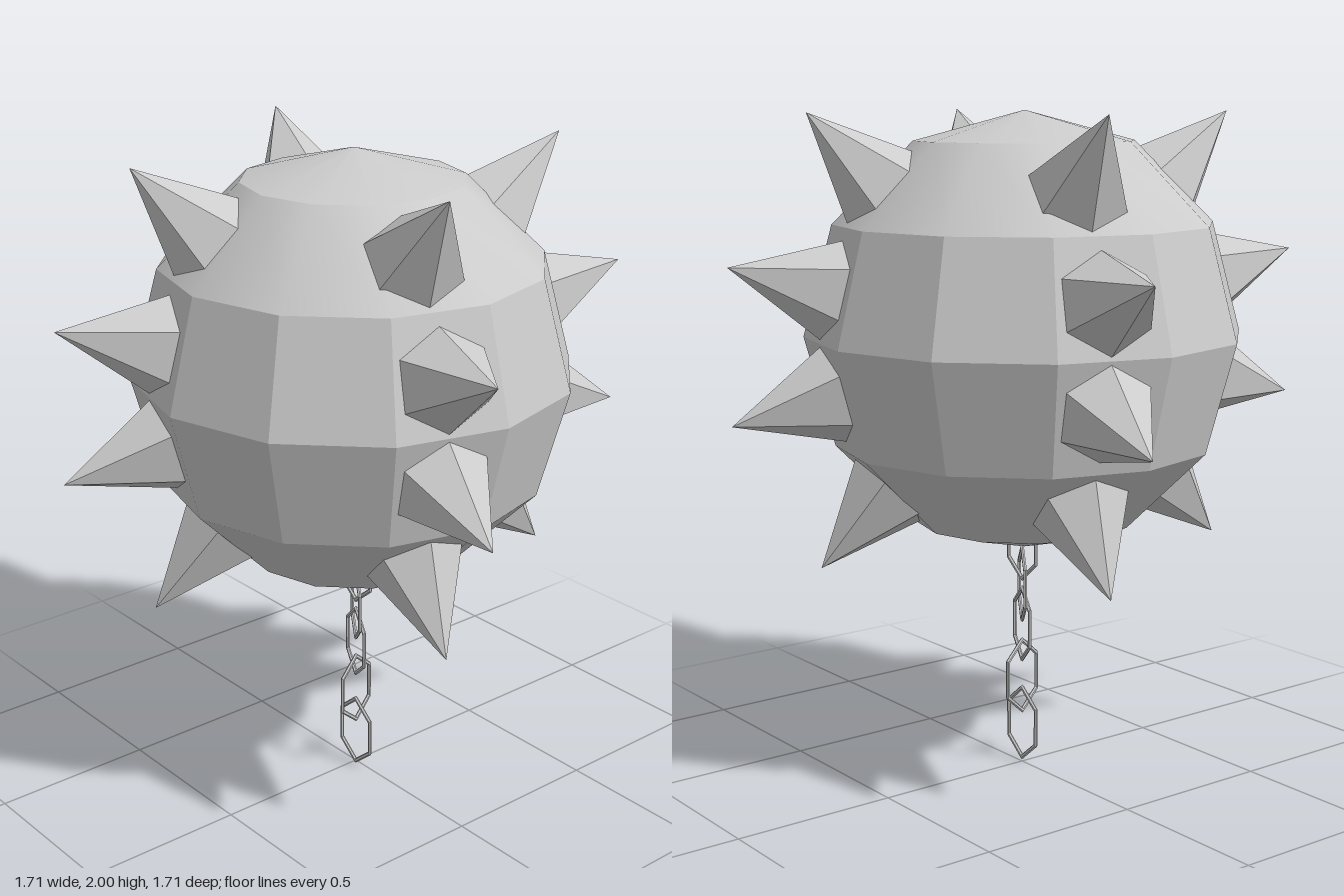
import * as THREE from 'three';
import { toCreasedNormals } from 'three/addons/utils/BufferGeometryUtils.js';

const rad = THREE.MathUtils.degToRad;

export function createModel() {
  const model = new THREE.Group();
  model.name = 'spikedBallOnChain';
  const smooth = new THREE.MeshStandardMaterial({ color: 0xcccccc });
  const flat = new THREE.MeshStandardMaterial({ color: 0xcccccc, flatShading: true });

  // Faceted ball: the equator bands are sharp, the shallower caps blend
  const ball = new THREE.Group();
  ball.name = 'ball';
  ball.position.set(-0.01, 1.345, 0);
  model.add(ball);
  const core = new THREE.Mesh(
    toCreasedNormals(new THREE.SphereGeometry(0.655, 12, 6), rad(25)), smooth);
  core.name = 'ballCore';
  ball.add(core);

  // Four rows of four six-sided spikes, pointing straight out from the centre
  const base = 0.605, length = 0.315;
  const spikeGeometry = new THREE.ConeGeometry(0.148, length, 6);
  spikeGeometry.translate(0, base + length / 2, 0);
  const rows = [
    { name: 'upperSpike', lat: 45, turn: -18 },
    { name: 'upperMiddleSpike', lat: 14.2, turn: -16 },
    { name: 'lowerMiddleSpike', lat: -14.2, turn: -16 },
    { name: 'lowerSpike', lat: -46, turn: -16 },
  ];
  for (const { name, lat, turn } of rows) {
    for (let i = 0; i < 4; i++) {
      const spike = new THREE.Mesh(spikeGeometry, flat);
      spike.name = name;
      spike.rotation.set(rad(90 - lat), rad(turn + i * 90), 0, 'YXZ');
      ball.add(spike);
    }
  }

  // Chain of long hexagonal links, each turned about the vertical
  const chain = new THREE.Group();
  chain.name = 'chain';
  chain.position.set(-0.01, 0, 0.012);
  model.add(chain);
  const linkGeometry = new THREE.TorusGeometry(0.078, 0.006, 6, 6);
  linkGeometry.rotateZ(Math.PI / 6);
  linkGeometry.scale(1, 1.45, 1);
  const links = [[0.125, 90], [0.278, 12], [0.443, 72], [0.57, 60], [0.7, 90]];
  for (const [y, yaw] of links) {
    const link = new THREE.Mesh(linkGeometry, flat);
    link.name = 'chainLink';
    link.position.y = y;
    link.rotation.y = rad(yaw);
    chain.add(link);
  }
  return model;
}
